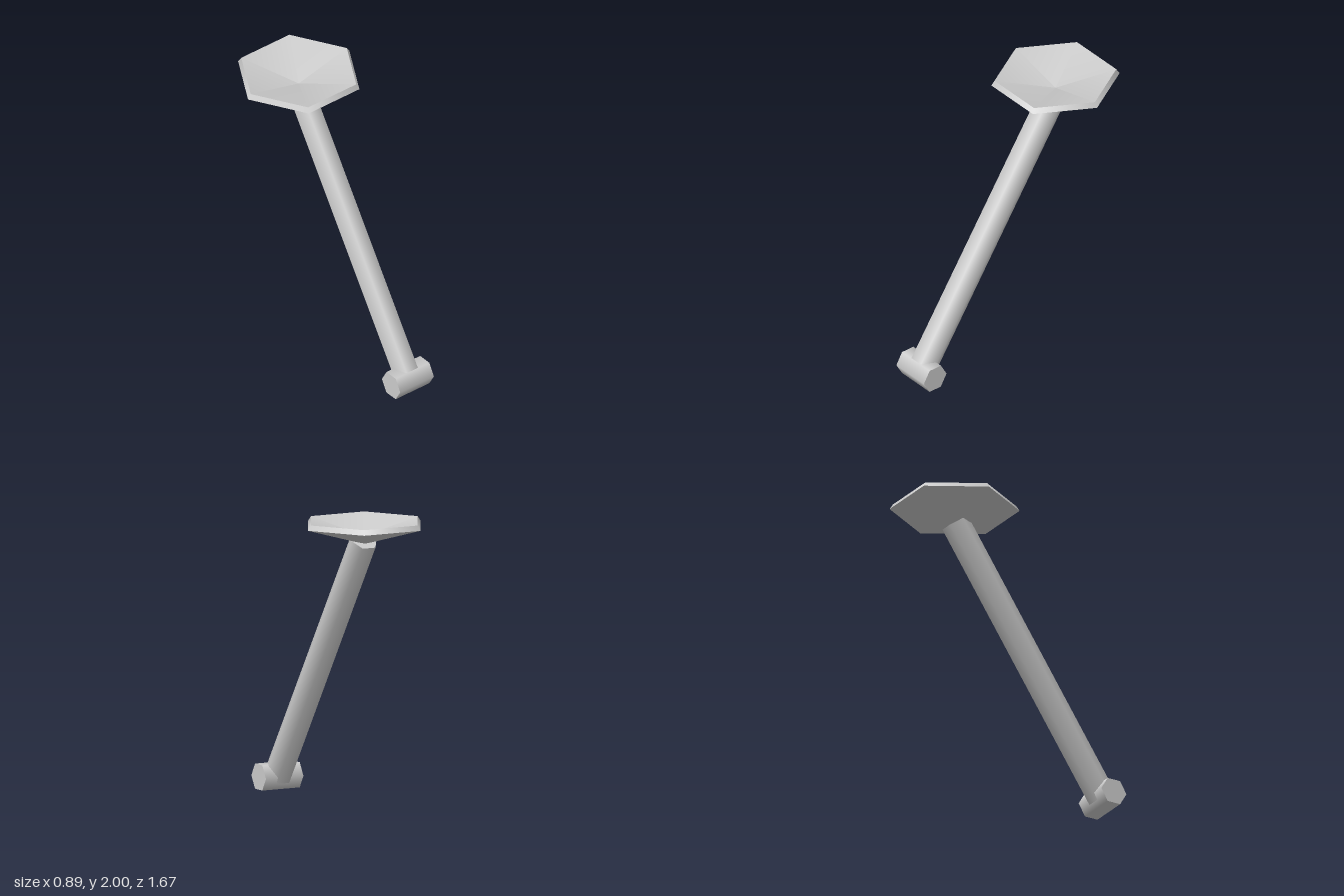
import * as THREE from 'three';

export function createModel() {
  const model = new THREE.Group();
  const grey = new THREE.MeshStandardMaterial({ color: 0xcccccc });
  grey.name = 'light grey';

  const add = (name, geometry, parent = model) => {
    const mesh = new THREE.Mesh(geometry, grey);
    mesh.name = name;
    parent.add(mesh);
    return mesh;
  };

  const baseCentre = new THREE.Vector3(0, 0.0866, 0.736);
  const poleTop = new THREE.Vector3(0, 1.868, -0.444);

  // Six-sided foot lying along x
  const foot = add('foot', new THREE.CylinderGeometry(0.1, 0.1, 0.294, 6));
  foot.rotation.z = Math.PI / 2;
  foot.position.copy(baseCentre);

  // Six-sided leaning pole, corners at left and right
  const along = poleTop.clone().sub(baseCentre);
  const pole = add('pole', new THREE.CylinderGeometry(0.1, 0.1, along.length(), 6, 1, false, Math.PI / 2));
  pole.position.copy(baseCentre).addScaledVector(along, 0.5);
  pole.rotation.x = Math.atan2(along.z, along.y);

  // Hollow hexagonal dish: each band is separate, so its edges stay sharp
  const dish = new THREE.Group();
  dish.name = 'dish';
  dish.position.z = -0.45;
  model.add(dish);
  const bands = {
    dishUnderside: [[0, 1.84], [0.443, 1.965]],
    dishRim: [[0.443, 1.965], [0.42, 2]],
    dishInside: [[0.42, 2], [0, 1.895]],
  };
  for (const [name, profile] of Object.entries(bands)) {
    const points = profile.map(([r, y]) => new THREE.Vector2(r, y));
    add(name, new THREE.LatheGeometry(points, 6, Math.PI / 2), dish);
  }

  return model;
}
